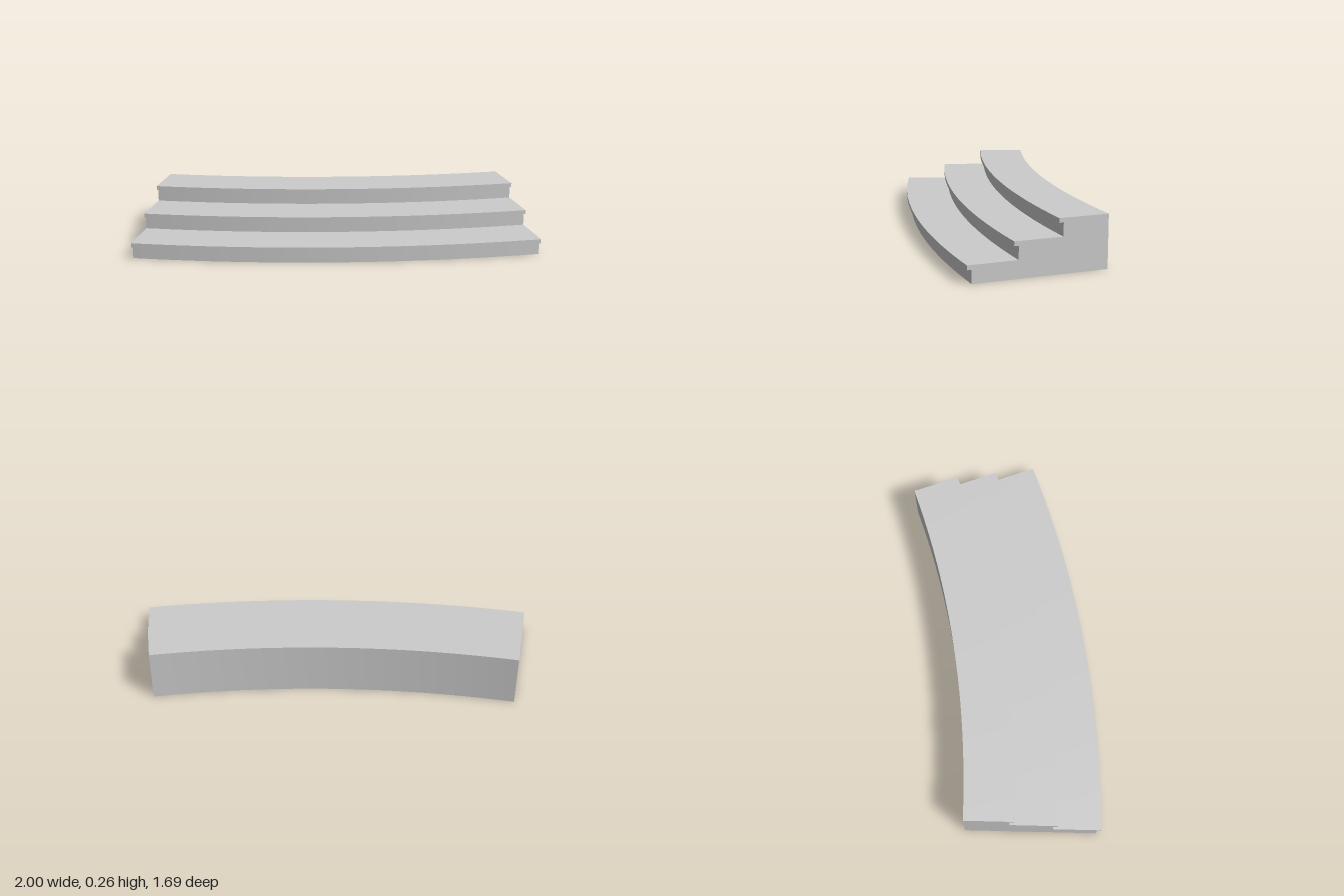
import * as THREE from 'three';
import { toCreasedNormals } from 'three/addons/utils/BufferGeometryUtils.js';

// Curved flight of three steps: a hollow shell swept round a distant centre
const CENTRE = [-3.09, -4.325];
const START = THREE.MathUtils.degToRad(24.72);
const SWEEP = THREE.MathUtils.degToRad(21.18);
const SEGMENTS = 32;
const BACK = 5.0;                   // radius of the back wall
const FRONTS = [5.695, 5.47, 5.25]; // radius of each nosing, bottom step first
const RISE = 0.0877;
const LIP = 0.022;                  // nosing thickness and overhang

export function createModel() {
  const group = new THREE.Group();
  group.name = 'curvedSteps';
  const material = new THREE.MeshStandardMaterial({ color: 0xcccccc, side: THREE.DoubleSide });

  const add = (name, geometry) => {
    const mesh = new THREE.Mesh(geometry, material);
    mesh.name = name;
    mesh.position.set(CENTRE[0], 0, CENTRE[1]);
    group.add(mesh);
  };
  const sweep = (name, points) => add(name,
    toCreasedNormals(new THREE.LatheGeometry(points, SEGMENTS, START, SWEEP), 0.5));
  const P = (r, y) => new THREE.Vector2(r, y);

  // Steps: riser, overhanging nosing, tread
  const outline = [];
  FRONTS.forEach((r, i) => {
    const y = i * RISE, top = y + RISE;
    const next = i < FRONTS.length - 1 ? FRONTS[i + 1] - LIP : BACK;
    const points = [P(r - LIP, y), P(r - LIP, top - LIP), P(r, top - LIP), P(r, top), P(next, top)];
    sweep('step' + (i + 1), points);
    outline.push(...points.slice(0, 4));
  });

  // Back wall
  const height = RISE * FRONTS.length;
  sweep('backWall', [P(BACK, height), P(BACK, 0)]);
  outline.push(P(BACK, height), P(BACK, 0));

  // End walls closing the stepped profile, each facing outwards
  const endWall = (name, phi, side) => {
    const shape = new THREE.Shape(outline.map((p) => P(side * p.x, p.y)));
    add(name, new THREE.ShapeGeometry(shape).rotateY(phi - side * Math.PI / 2));
  };
  endWall('rightEndWall', START, 1);
  endWall('leftEndWall', START + SWEEP, -1);

  return group;
}
